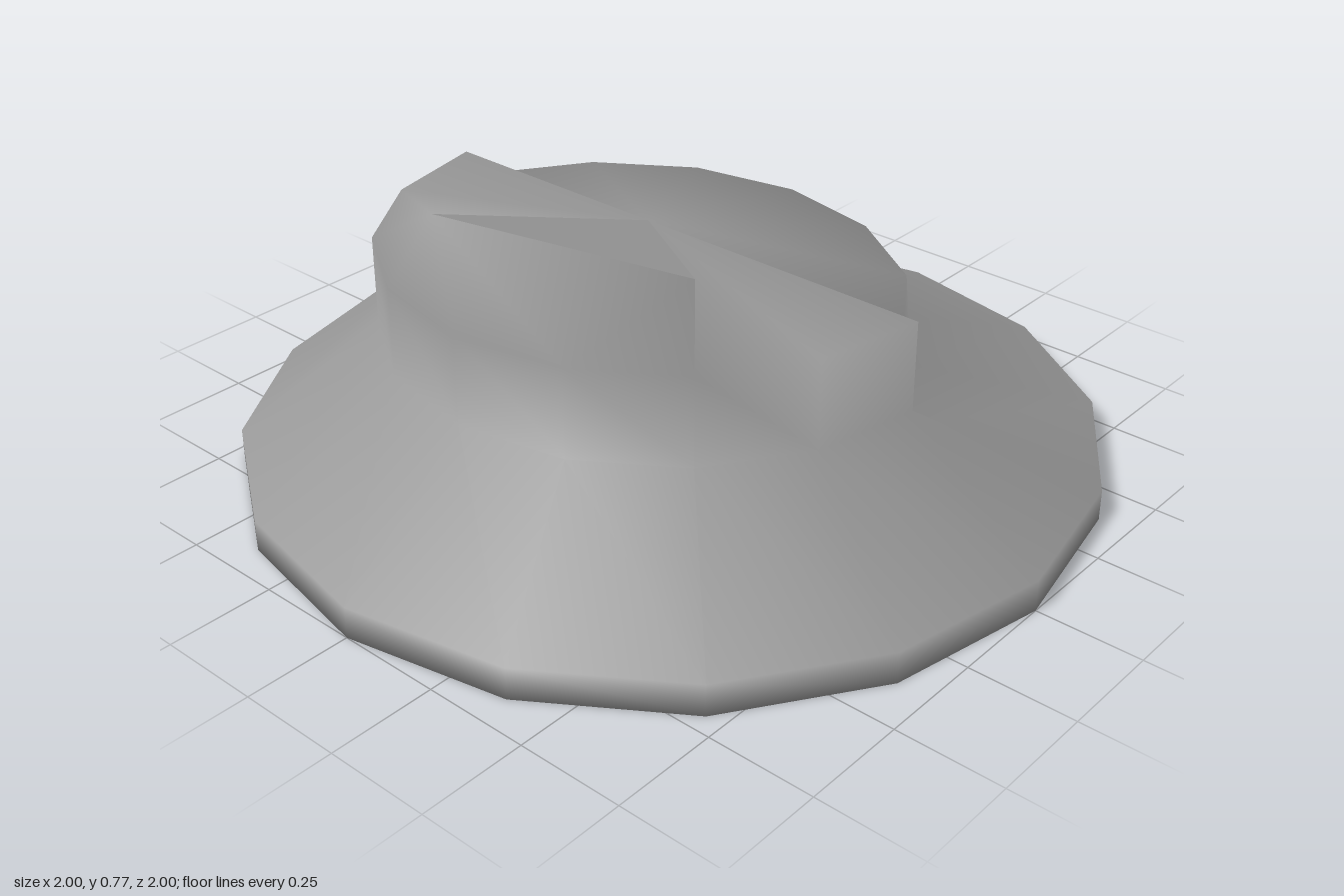
import * as THREE from 'three';

const SIDES = 16;
const UPPER_R = 0.667;
const APEX = [-0.08, 0.61, 0];
const PEAK_A = [-0.47, 0.77, 0.47];
const PEAK_B = [-0.6, 0.77, -0.12];

// Ring of points; the +x half can be pulled inwards and set at another height
function ring(radius, y, rightShift = 0, rightY = y) {
  return Array.from({ length: SIDES }, (_, i) => {
    const a = (i / SIDES) * Math.PI * 2;
    const right = i < 4 || i > 12;
    return [
      radius * Math.cos(a) - (right ? rightShift : 0),
      right ? rightY : y,
      radius * Math.sin(a),
    ];
  });
}

function buildGeometry(points, faces) {
  const g = new THREE.BufferGeometry();
  g.setAttribute('position', new THREE.Float32BufferAttribute(points.flat(), 3));
  if (faces) g.setIndex(faces.flat());
  g.computeVertexNormals();
  return g;
}

export function createModel() {
  const group = new THREE.Group();
  const material = new THREE.MeshStandardMaterial({ color: 0x9b9b9b });

  // Cross-sections from the hollow underside, round the rim, up to the collar
  const rings = [
    ring(0.75, 0.1),
    ring(1, 0),
    ring(1, 0.075),
    ring(UPPER_R, 0.35, 0.195, 0.27),
    ring(UPPER_R, 0.56, 0.232, 0.51),
  ];
  const last = rings.length - 1;
  const points = [...rings.flat(), [0, 0.1, 0], APEX, PEAK_A, PEAK_B];
  const base = SIDES * rings.length;
  const [bottom, apex, peakA, peakB] = [base, base + 1, base + 2, base + 3];
  const at = (level, i) => level * SIDES + (i % SIDES);
  const top = (i) => at(last, i);

  const faces = [];
  for (let i = 0; i < SIDES; i++) {
    // Underside slope, rim, skirt and collar wall
    for (let l = 0; l < last; l++) {
      faces.push([at(l, i), at(l + 1, i), at(l + 1, i + 1)]);
      faces.push([at(l, i), at(l + 1, i + 1), at(l, i + 1)]);
    }
    // Floor of the hollow
    faces.push([at(0, i), at(0, i + 1), bottom]);
    // Domed top, except where the crest rises
    if (i < 6 || i > 10) faces.push([top(i + 1), top(i), apex]);
  }

  // Outer side of the raised crest, its slope behind and its upright front wall
  faces.push([top(6), peakA, top(7)], [top(7), peakA, peakB]);
  for (let i = 7; i < 11; i++) faces.push([top(i), peakB, top(i + 1)]);
  faces.push([apex, top(11), peakB], [peakA, top(6), apex]);

  const body = new THREE.Mesh(buildGeometry(points, faces), material);
  body.name = 'body';
  group.add(body);

  // Flat top of the crest
  const crest = new THREE.Mesh(buildGeometry([APEX, PEAK_B, PEAK_A]), material);
  crest.name = 'crestTop';
  group.add(crest);

  return group;
}
